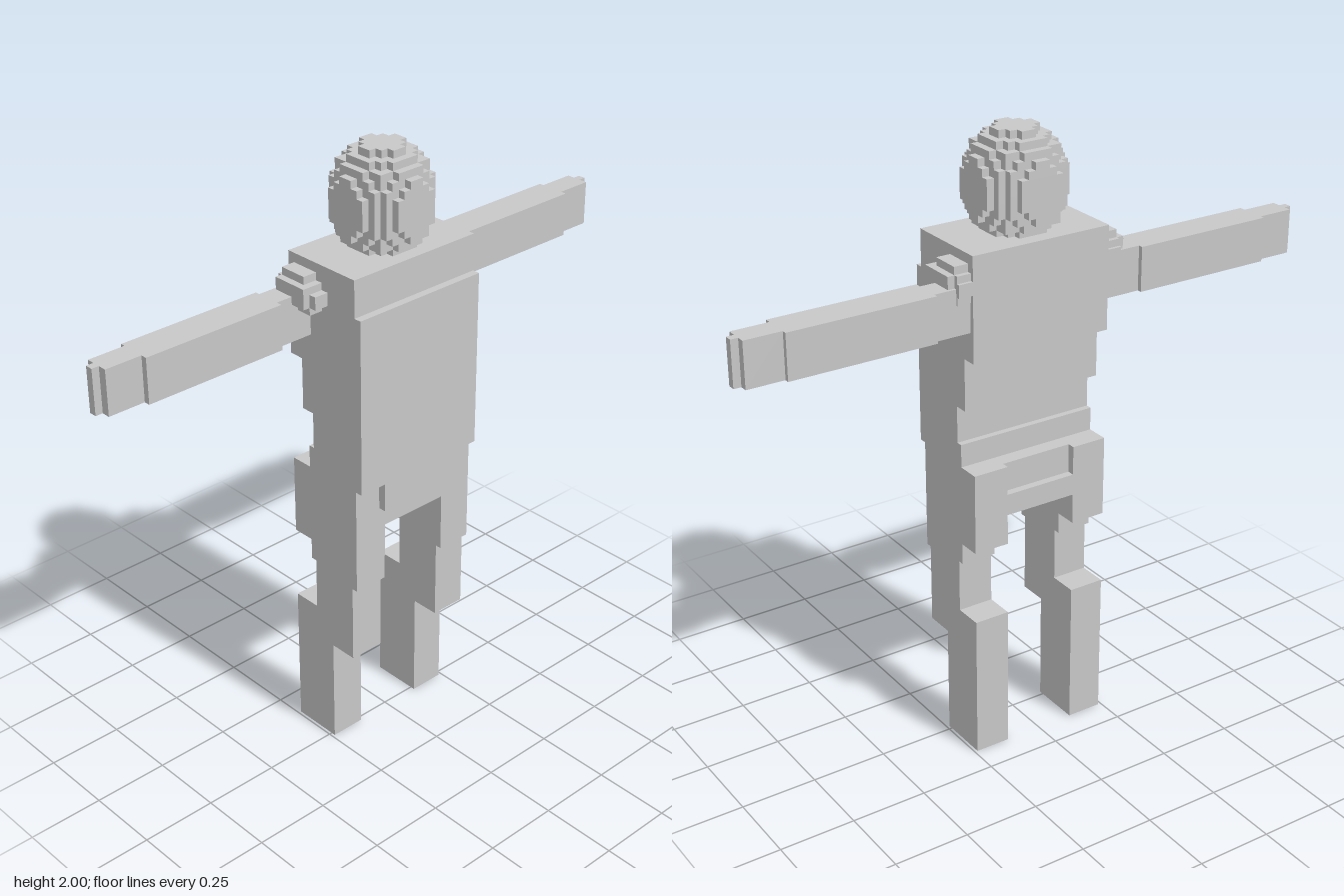
import * as THREE from 'three';
import { mergeGeometries } from 'three/addons/utils/BufferGeometryUtils.js';

const V = 0.0241; // size of one cube step
const CX = -0.003; // middle plane of the figure

export function createModel() {
  const model = new THREE.Group();
  model.name = 'blockFigure';
  const grey = new THREE.MeshStandardMaterial({ color: 0xc8c8c8 });
  grey.name = 'plainGrey';

  const add = (name, geometry, parent = model) => {
    const mesh = new THREE.Mesh(geometry, grey);
    mesh.name = name;
    parent.add(mesh);
    return mesh;
  };

  // Box given by its limits on each axis
  const box = (x0, x1, y0, y1, z0, z1) =>
    new THREE.BoxGeometry(x1 - x0, y1 - y0, z1 - z0)
      .translate((x0 + x1) / 2, (y0 + y1) / 2, (z0 + z1) / 2);

  // Side outline of [z, y] points stretched from x0 to x1
  const slab = (points, x0, x1) => {
    const shape = new THREE.Shape(points.map(([z, y]) => new THREE.Vector2(z, y)));
    return new THREE.ExtrudeGeometry(shape, { depth: x1 - x0, bevelEnabled: false })
      .rotateY(-Math.PI / 2).translate(x1, 0, 0);
  };

  // Stepped ellipsoid made of flat layers, half sizes counted in cube steps
  const steppedBall = (nx, ny, nz, cy, cz) => {
    const layers = [];
    for (let j = -ny; j < ny; j++) {
      const rows = [];
      for (let k = -nz; k < nz; k++) {
        const rest = 1 - ((j + 0.5) / (ny + 0.25)) ** 2 - ((k + 0.5) / (nz + 0.35)) ** 2;
        const w = rest > 0 ? Math.floor((nx + 0.35) * Math.sqrt(rest) + 0.5) : 0;
        if (w > 0) rows.push([w, k]);
      }
      const outline = [];
      rows.forEach(([w, k]) => outline.push([w, k], [w, k + 1]));
      rows.reverse().forEach(([w, k]) => outline.push([-w, k + 1], [-w, k]));
      const shape = new THREE.Shape(outline.map(([x, z]) => new THREE.Vector2(x * V, z * V)));
      layers.push(new THREE.ExtrudeGeometry(shape, { depth: V, bevelEnabled: false })
        .rotateX(Math.PI / 2).translate(0, cy + (j + 1) * V, cz));
    }
    return mergeGeometries(layers);
  };

  // Head, its lowest layer sunk into the shoulders
  add('head', steppedBall(6, 7, 6, 2 - 7 * V, -0.0115));

  // Torso with a hollowed lower back
  add('torso', slab([
    [0.13, 1.69], [-0.155, 1.69], [-0.155, 1.355], [-0.105, 1.355],
    [-0.105, 1.185], [-0.06, 1.185], [-0.06, 1.065], [-0.08, 1.065],
    [-0.08, 0.99], [0.155, 0.99], [0.155, 1.57], [0.13, 1.57],
  ], -0.24, 0.24));

  // Pelvis: front flap, notched back and crotch
  add('frontFlap', box(-0.145, 0.145, 0.895, 0.99, -0.13, 0.155));
  add('crotch', box(-0.145, 0.145, 0.825, 0.895, -0.155, 0.13));

  for (const side of [1, -1]) {
    const label = side > 0 ? 'left' : 'right';
    const span = (a, b) => (side > 0 ? [a, b] : [-b, -a]);

    // Leg with thigh, knee and shin steps
    add(label + 'Leg', slab([
      [0.13, 0.99], [-0.155, 0.99], [-0.155, 0.725], [-0.08, 0.725],
      [-0.08, 0.655], [-0.06, 0.655], [-0.06, 0.48], [-0.155, 0.48],
      [-0.155, 0], [0.015, 0], [0.015, 0.365], [0.11, 0.365],
      [0.11, 0.63], [0.13, 0.63],
    ], ...span(0.122, 0.24)));
    add(label + 'Hip', box(...span(0.122, 0.146), 0.825, 0.99, -0.155, 0.13));

    // Stepped shoulder knob
    const shoulder = new THREE.Group();
    shoulder.name = label + 'Shoulder';
    model.add(shoulder);
    add('shoulderCore', box(...span(0.23, 0.31), 1.57, 1.635, -0.132, -0.01), shoulder);
    add('shoulderWide', box(...span(0.23, 0.287), 1.57, 1.612, -0.155, 0.015), shoulder);
    add('shoulderTall', box(...span(0.23, 0.287), 1.545, 1.635, -0.145, -0.01), shoulder);
    add('shoulderCap', box(...span(0.23, 0.287), 1.545, 1.66, -0.13, -0.034), shoulder);

    // Arm reaching straight out, thinning at the hand
    const arm = new THREE.Group();
    arm.name = label + 'Arm';
    arm.position.x = CX;
    model.add(arm);
    [
      ['upperArm', 0.23, 0.363, -0.14, -0.062],
      ['forearm', 0.363, 0.843, -0.155, -0.042],
      ['hand', 0.843, 0.964, -0.14, -0.062],
      ['fingertips', 0.964, 0.988, -0.115, -0.09],
    ].forEach(([name, a, b, z0, z1]) => add(name, box(...span(a, b), 1.45, 1.595, z0, z1), arm));
  }
  return model;
}
